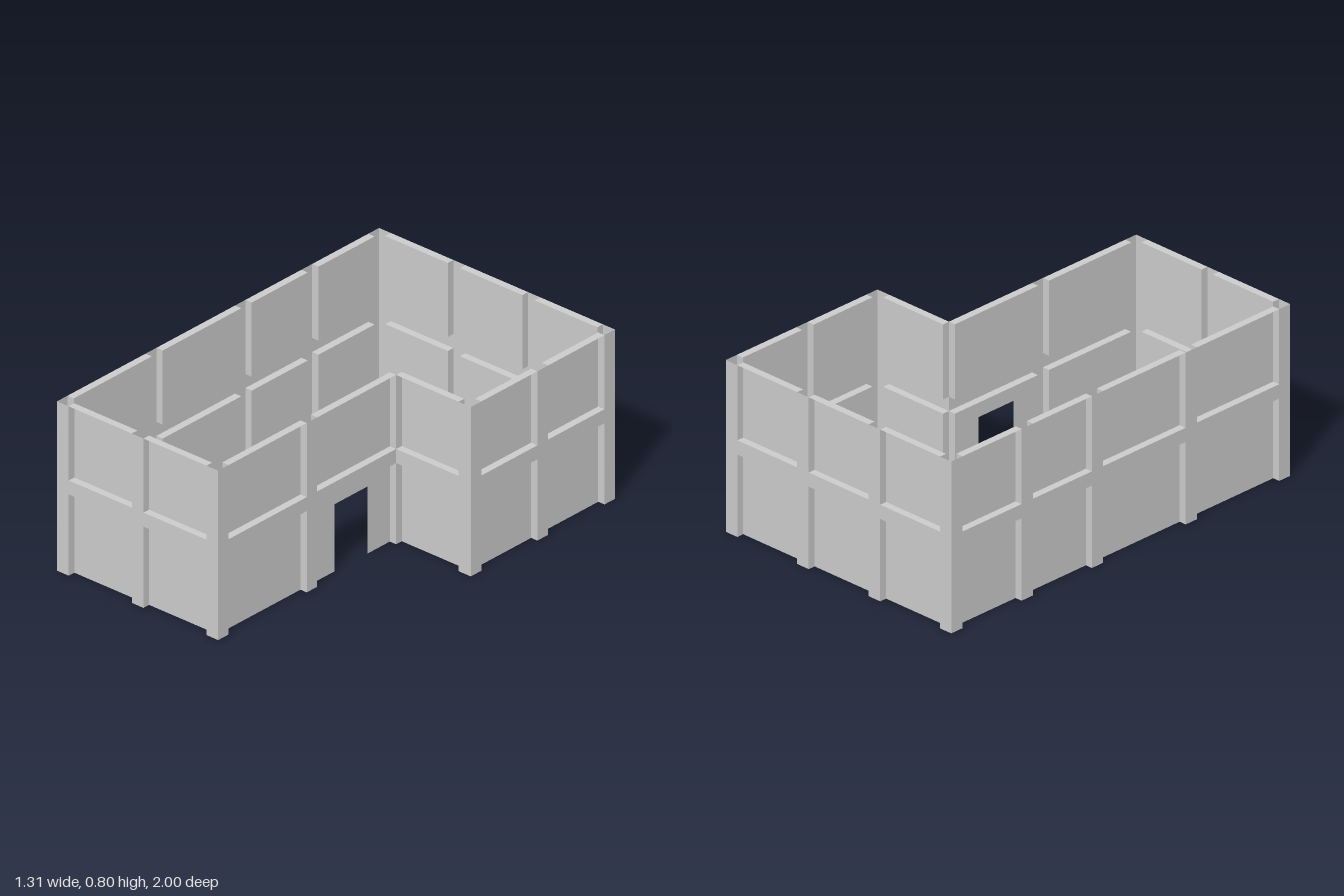
import * as THREE from 'three';

const HEIGHT = 0.8, BEAM_LOW = 0.384, BEAM_HIGH = 0.45, DEPTH = 0.035;

const material = new THREE.MeshStandardMaterial({
  color: 0xcccccc, side: THREE.DoubleSide, flatShading: true,
});

function add(parent, name, geometry) {
  const mesh = new THREE.Mesh(geometry, material);
  mesh.name = name;
  parent.add(mesh);
}

// Upright rectangle facing +z, from (u0, y0) to (u1, y1)
function upright(u0, u1, y0, y1, z = 0) {
  return new THREE.PlaneGeometry(u1 - u0, y1 - y0).translate((u0 + u1) / 2, (y0 + y1) / 2, z);
}

// Horizontal edge of a recess; dir 1 faces up, -1 faces down
function ledge(u0, u1, y, dir) {
  return new THREE.PlaneGeometry(u1 - u0, DEPTH).rotateX(-dir * Math.PI / 2)
    .translate((u0 + u1) / 2, y, -DEPTH / 2);
}

// Vertical edge of a recess; dir 1 faces along the wall, -1 against it
function jamb(u, y0, y1, dir) {
  return new THREE.PlaneGeometry(DEPTH, y1 - y0).rotateY(dir * Math.PI / 2)
    .translate(u, (y0 + y1) / 2, -DEPTH / 2);
}

// Panel with a doorway cut up from the ground
function doorPanel(u0, u1, y1, door) {
  const shape = new THREE.Shape([
    [u0, 0], [door.u0, 0], [door.u0, door.top], [door.u1, door.top],
    [door.u1, 0], [u1, 0], [u1, y1], [u0, y1],
  ].map(([u, y]) => new THREE.Vector2(u, y)));
  return new THREE.ShapeGeometry(shape).translate(0, 0, -DEPTH);
}

// Thin wall: flush posts and middle beam, with two rows of recessed panels
function buildWall({ name, at, turn, length, bays, door }) {
  const wall = new THREE.Group();
  wall.name = name;
  let cursor = 0;
  const postTo = (u) => {
    if (u - cursor > 0.001) add(wall, 'post', upright(cursor, u, 0, HEIGHT));
  };
  bays.forEach(([u0, u1], i) => {
    postTo(u0);
    cursor = u1;
    add(wall, 'beam', upright(u0, u1, BEAM_LOW, BEAM_HIGH));

    const hasDoor = door && door.bay === i;
    add(wall, 'lowerPanel', hasDoor
      ? doorPanel(u0, u1, BEAM_LOW, door)
      : upright(u0, u1, 0, BEAM_LOW, -DEPTH));
    add(wall, 'upperPanel', upright(u0, u1, BEAM_HIGH, HEIGHT, -DEPTH));

    add(wall, 'beamUnderside', ledge(u0, u1, BEAM_LOW, -1));
    add(wall, 'beamLedge', ledge(u0, u1, BEAM_HIGH, 1));
    add(wall, 'topLedge', ledge(u0, u1, HEIGHT, -1));
    for (const [y0, y1] of [[0, BEAM_LOW], [BEAM_HIGH, HEIGHT]]) {
      add(wall, 'postEdge', jamb(u0, y0, y1, 1));
      add(wall, 'postEdge', jamb(u1, y0, y1, -1));
    }
  });
  postTo(length);
  wall.position.set(at[0], 0, at[1]);
  wall.rotation.y = turn * Math.PI / 2;
  return wall;
}

export function createModel() {
  const model = new THREE.Group();
  model.name = 'buildingWalls';

  // Walls of the L-shaped plan, running anticlockwise seen from above
  const walls = [
    { name: 'frontWall', at: [-0.655, 1], turn: 0, length: 0.895,
      bays: [[0.065, 0.415], [0.48, 0.83]] },
    { name: 'doorWall', at: [0.24, 1], turn: 1, length: 1.105,
      bays: [[0.065, 0.55], [0.615, 1.105]],
      door: { bay: 1, u0: 0.76, u1: 0.965, top: 0.317 } },
    { name: 'stepWall', at: [0.24, -0.105], turn: 0, length: 0.415,
      bays: [[0, 0.347]] },
    { name: 'wingSideWall', at: [0.655, -0.105], turn: 1, length: 0.895,
      bays: [[0.065, 0.413], [0.48, 0.83]] },
    { name: 'backWall', at: [0.655, -1], turn: 2, length: 1.31,
      bays: [[0.067, 0.415], [0.482, 0.83], [0.897, 1.245]] },
    { name: 'longSideWall', at: [-0.655, -1], turn: -1, length: 2,
      bays: [[0.067, 0.415], [0.482, 0.83], [0.895, 1.383], [1.45, 1.935]] },
  ];
  for (const wall of walls) model.add(buildWall(wall));
  return model;
}
